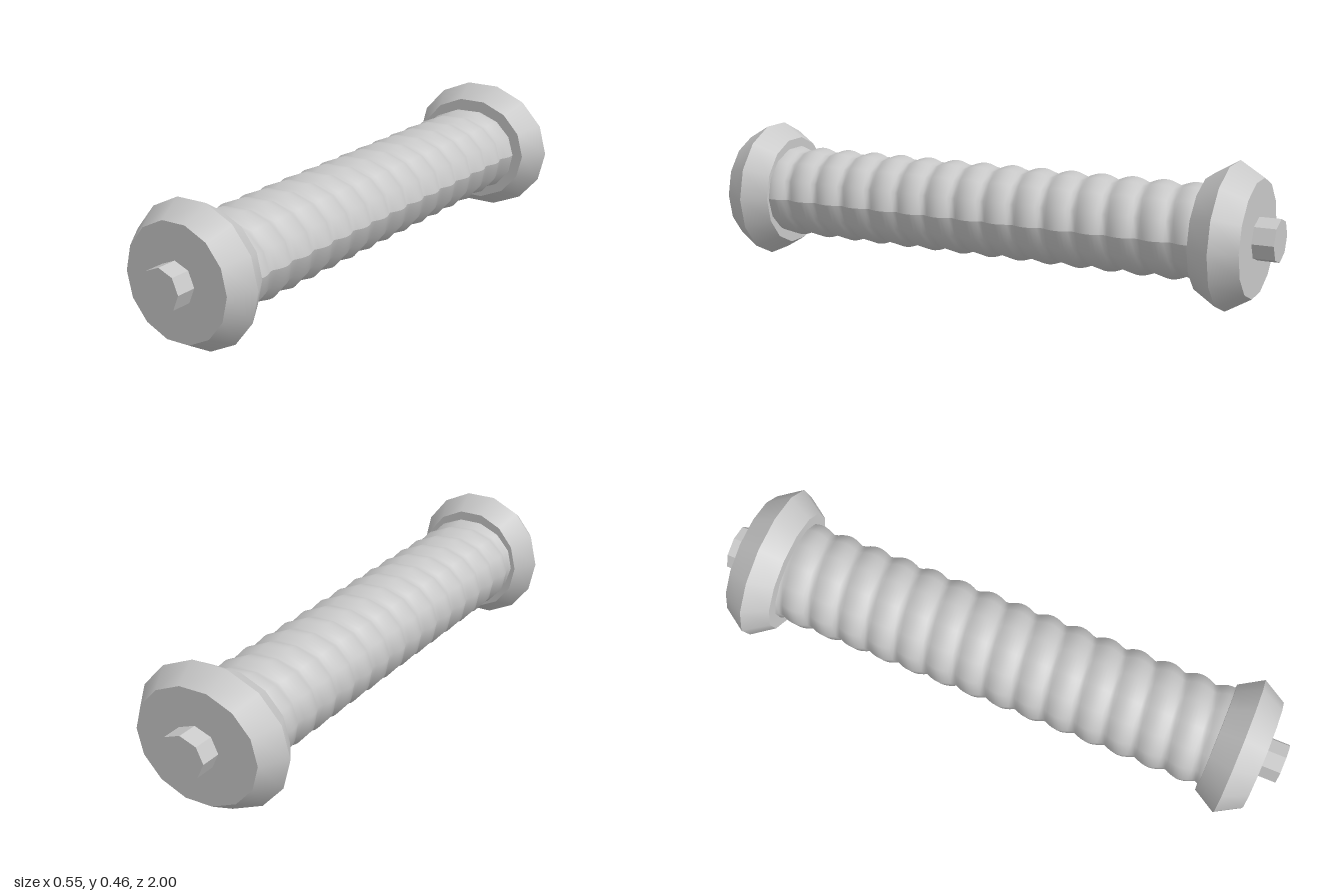
import * as THREE from 'three';

const AXIS_Y = 0.232; // height of the centre line
const SIDES = 14;

export function createModel() {
  const grey = new THREE.MeshStandardMaterial({ color: 0xc8c8c8 });
  grey.name = 'plain grey';

  const model = new THREE.Group();
  model.name = 'grip';

  function add(parent, name, geometry) {
    const mesh = new THREE.Mesh(geometry, grey);
    mesh.name = name;
    parent.add(mesh);
  }

  // Open tapered ring along z, with a corner on the x axis
  function ring(rBack, rFront, zBack, zFront) {
    return new THREE.CylinderGeometry(rFront, rBack, zFront - zBack, SIDES, 1, true, Math.PI / 2)
      .rotateX(Math.PI / 2)
      .translate(0, 0, (zBack + zFront) / 2);
  }

  // Bevelled collar with a faceted stud on its outer face
  function addEnd(name, widen, turn) {
    const end = new THREE.Group();
    end.name = name;
    add(end, 'innerBevel', ring(0.189, 0.237, 0.768, 0.848));
    add(end, 'outerBevel', ring(0.237, 0.189, 0.848, 0.93));
    add(end, 'outerFace', new THREE.CircleGeometry(0.189, SIDES).translate(0, 0, 0.93));
    add(end, 'innerFace', new THREE.CircleGeometry(0.189, SIDES).rotateY(Math.PI).translate(0, 0, 0.768));
    const stud = new THREE.CylinderGeometry(0.07, 0.07, 0.08, 8)
      .rotateX(Math.PI / 2).translate(0, 0, 0.96).toNonIndexed();
    stud.computeVertexNormals();
    add(end, 'stud', stud);
    end.position.y = AXIS_Y;
    end.rotation.y = turn;
    end.scale.x = widen;
    model.add(end);
  }
  addEnd('frontEnd', 1, 0);
  addEnd('backEnd', 1.157, Math.PI);

  // Handle with one spiral rib, oval in section
  const pitch = 0.107;
  const handle = new THREE.CylinderGeometry(1, 1, 1.54, SIDES, 116, true, Math.PI / 2).rotateX(Math.PI / 2);
  const p = handle.attributes.position;
  for (let i = 0; i < p.count; i++) {
    const x = p.getX(i), y = p.getY(i), z = p.getZ(i);
    const angle = Math.atan2(y, x);
    const r = 0.142 + 0.015 * Math.abs(Math.cos(Math.PI * z / pitch - angle / 2));
    p.setXYZ(i, x * r * 1.157, y * r + AXIS_Y, z);
  }
  handle.computeVertexNormals();
  add(model, 'spiralHandle', handle);

  return model;
}
